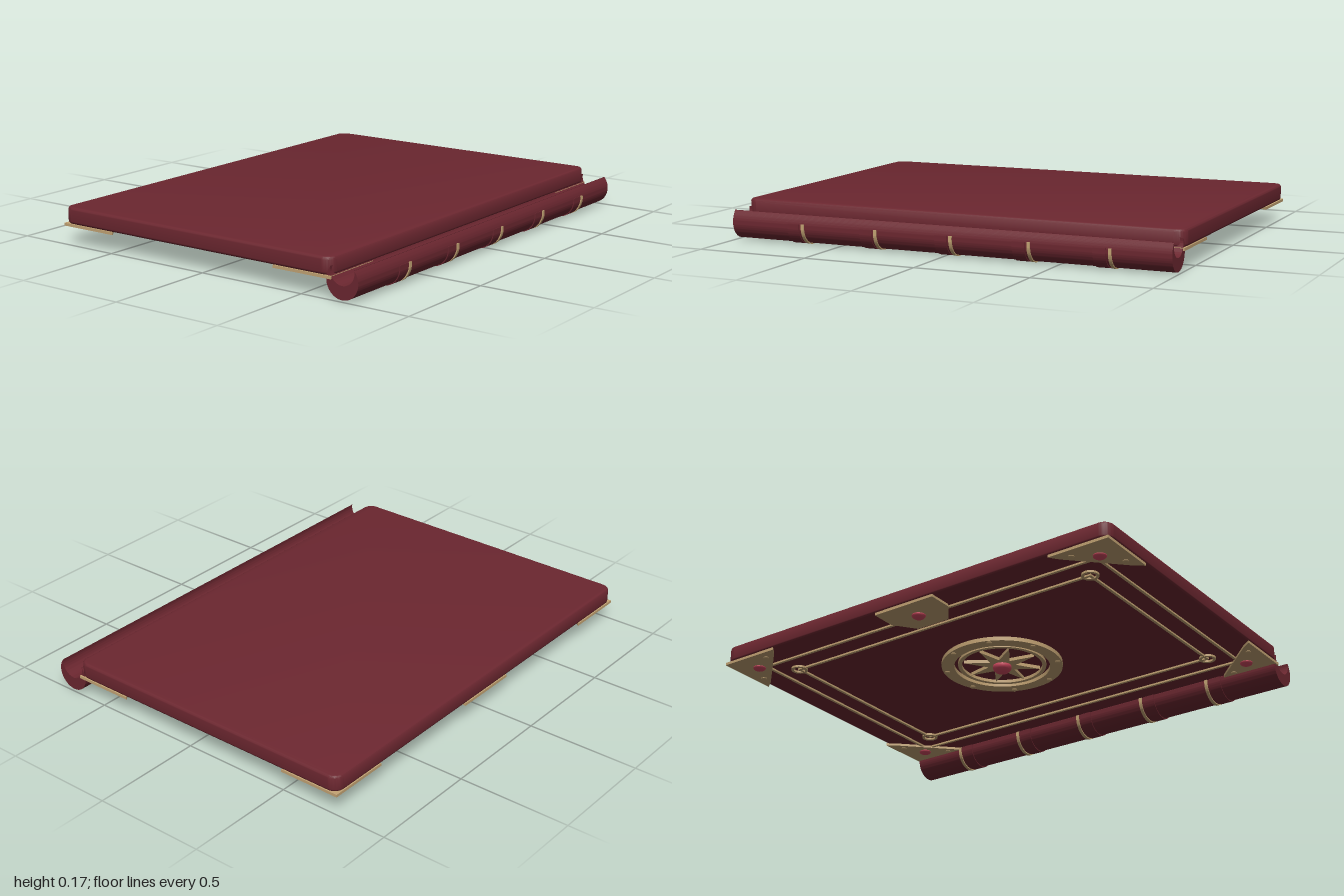
import * as THREE from 'three';
import { toCreasedNormals } from 'three/addons/utils/BufferGeometryUtils.js';

const material = (name, color) => {
  const m = new THREE.MeshStandardMaterial({ color });
  m.name = name;
  return m;
};

export function createModel() {
  const leather = material('red leather', 0x6c2730);
  const gold = material('old gold', 0xc4a474);
  const ruby = material('ruby', 0xd04a60);

  const book = new THREE.Group();
  book.name = 'bookCover';
  const BASE = 0.092; // underside of the cover
  const CZ = -0.065; // middle of the cover in z

  const add = (name, geometry, mat, x = 0, y = 0, z = 0) => {
    const mesh = new THREE.Mesh(geometry, mat);
    mesh.name = name;
    mesh.position.set(x, y, z);
    book.add(mesh);
  };

  // Plate drawn in x/z, thickened downwards from y = 0
  const plate = (shape, depth, curveSegments = 32) =>
    toCreasedNormals(
      new THREE.ExtrudeGeometry(shape, { depth, bevelEnabled: false, curveSegments }).rotateX(Math.PI / 2), 0.6);

  const polygon = (pts) => new THREE.Shape(pts.map(([x, z]) => new THREE.Vector2(x, z)));

  const annulus = (outer, inner) => {
    const s = new THREE.Shape().absarc(0, 0, outer, 0, Math.PI * 2);
    s.holes.push(new THREE.Path().absarc(0, 0, inner, 0, Math.PI * 2, true));
    return s;
  };

  // Flattened dome for gems and rivets
  const dome = (name, r, h, mat, x, y, z) => {
    const g = new THREE.SphereGeometry(r, 20, 12);
    g.scale(1, h / r, 1);
    add(name, g, mat, x, y, z);
  };

  // Cover board with softly rounded edges
  const bevel = 0.012, w = 1 - bevel, d = 0.705 - bevel, r = 0.034;
  const board = new THREE.Shape();
  board.moveTo(-w + r, -d);
  board.lineTo(w - r, -d).absarc(w - r, -d + r, r, -Math.PI / 2, 0);
  board.lineTo(w, d - r).absarc(w - r, d - r, r, 0, Math.PI / 2);
  board.lineTo(-w + r, d).absarc(-w + r, d - r, r, Math.PI / 2, Math.PI);
  board.lineTo(-w, -d + r).absarc(-w + r, -d + r, r, Math.PI, Math.PI * 1.5);
  const boardGeo = new THREE.ExtrudeGeometry(board, {
    depth: 0.165 - BASE - 2 * bevel, bevelThickness: bevel, bevelSize: bevel, bevelSegments: 4, curveSegments: 6,
  }).rotateX(Math.PI / 2);
  add('cover', toCreasedNormals(boardGeo, 0.6), leather, 0, 0.165 - bevel, CZ);

  // Spine: a crescent section drawn out along x
  const SY = 0.08, SZ = 0.69;
  const alongX = (shape, length) =>
    toCreasedNormals(
      new THREE.ExtrudeGeometry(shape, { depth: length, bevelEnabled: false, curveSegments: 36 })
        .translate(0, 0, -length / 2).rotateY(Math.PI / 2), 0.5);
  const crescent = new THREE.Shape();
  crescent.absarc(0, 0, 0.075, Math.PI - 0.73, Math.PI * 2 + 0.73, false);
  crescent.absarc(0, 0.039, 0.0574, 0.22, Math.PI - 0.22, true);
  add('spine', alongX(crescent, 1.985), leather, 0, SY, SZ);

  // Raised spine bands, each with a gold ring beside it
  const arc = (outer) => {
    const s = new THREE.Shape();
    s.absarc(0, 0, outer, Math.PI - 0.17, Math.PI * 2 + 0.17, false);
    s.absarc(0, 0, 0.07, 0.17, Math.PI - 0.17, true);
    return s;
  };
  const bandGeo = alongX(arc(0.079), 0.055);
  const ringGeo = alongX(arc(0.08), 0.014);
  for (let i = -2; i <= 2; i++) {
    add('spineBand', bandGeo, leather, i * 0.346, SY, SZ);
    add('spineRing', ringGeo, gold, i * 0.346 + 0.045, SY, SZ);
  }

  // Two thin gold frames on the underside
  const LINE = 0.012;
  for (const [name, hx, hz] of [['outerFrame', 0.875, 0.585], ['innerFrame', 0.775, 0.48]]) {
    const s = polygon([[-hx, -hz], [hx, -hz], [hx, hz], [-hx, hz]]);
    const ix = hx - LINE, iz = hz - LINE;
    s.holes.push(polygon([[-ix, -iz], [-ix, iz], [ix, iz], [ix, -iz]]));
    add(name, plate(s, 0.008), gold, 0, BASE, CZ);
  }

  // Corner fittings, frame rings, gems and rivets
  const knotGeo = plate(annulus(0.037, 0.025), 0.009);
  for (const sx of [-1, 1]) for (const sz of [-1, 1]) {
    const pts = [[0, 0], [-0.28, 0], [-0.25, -0.04], [-0.04, -0.25], [0, -0.28]];
    const corner = polygon(pts.map(([x, z]) => [x * sx, z * sz]));
    add('cornerPlate', plate(corner, 0.012), gold, sx, BASE + 0.001, CZ + sz * 0.705);
    const at = (inX, inZ) => [sx * (1 - inX), 0.08, CZ + sz * (0.705 - inZ)];
    dome('cornerGem', 0.028, 0.013, ruby, ...at(0.105, 0.105));
    dome('cornerRivet', 0.013, 0.006, gold, ...at(0.2, 0.045));
    dome('cornerRivet', 0.013, 0.006, gold, ...at(0.045, 0.2));
    add('frameRing', knotGeo, gold, sx * 0.77, BASE, CZ + sz * 0.475);
  }

  // Central medallion: broad ring, fine ring, star and gem
  add('medallionRing', plate(annulus(0.268, 0.212), 0.018, 48), gold, 0, BASE, CZ);
  add('medallionInnerRing', plate(annulus(0.195, 0.178), 0.014, 48), gold, 0, BASE, CZ);
  const star = [];
  for (let i = 0; i < 16; i++) {
    const a = (i * Math.PI) / 8, q = i % 2 ? 0.062 : 0.17;
    star.push([Math.cos(a) * q, Math.sin(a) * q]);
  }
  add('medallionStar', plate(polygon(star), 0.015), gold, 0, BASE, CZ);
  dome('centreGem', 0.042, 0.03, ruby, 0, 0.071, CZ);
  for (let i = 0; i < 8; i++) {
    const a = ((i + 0.5) * Math.PI) / 4;
    dome('medallionRivet', 0.012, 0.01, gold, Math.cos(a) * 0.25, 0.074, CZ + Math.sin(a) * 0.25);
  }

  // Clasp plate at the far edge
  const clasp = polygon([[-0.15, 0], [0.15, 0], [0.15, 0.11], [0.08, 0.205], [-0.08, 0.205], [-0.15, 0.11]]);
  add('claspPlate', plate(clasp, 0.012), gold, 0, BASE + 0.001, -0.77);
  dome('claspGem', 0.03, 0.017, ruby, 0, 0.08, -0.665);

  return book;
}
